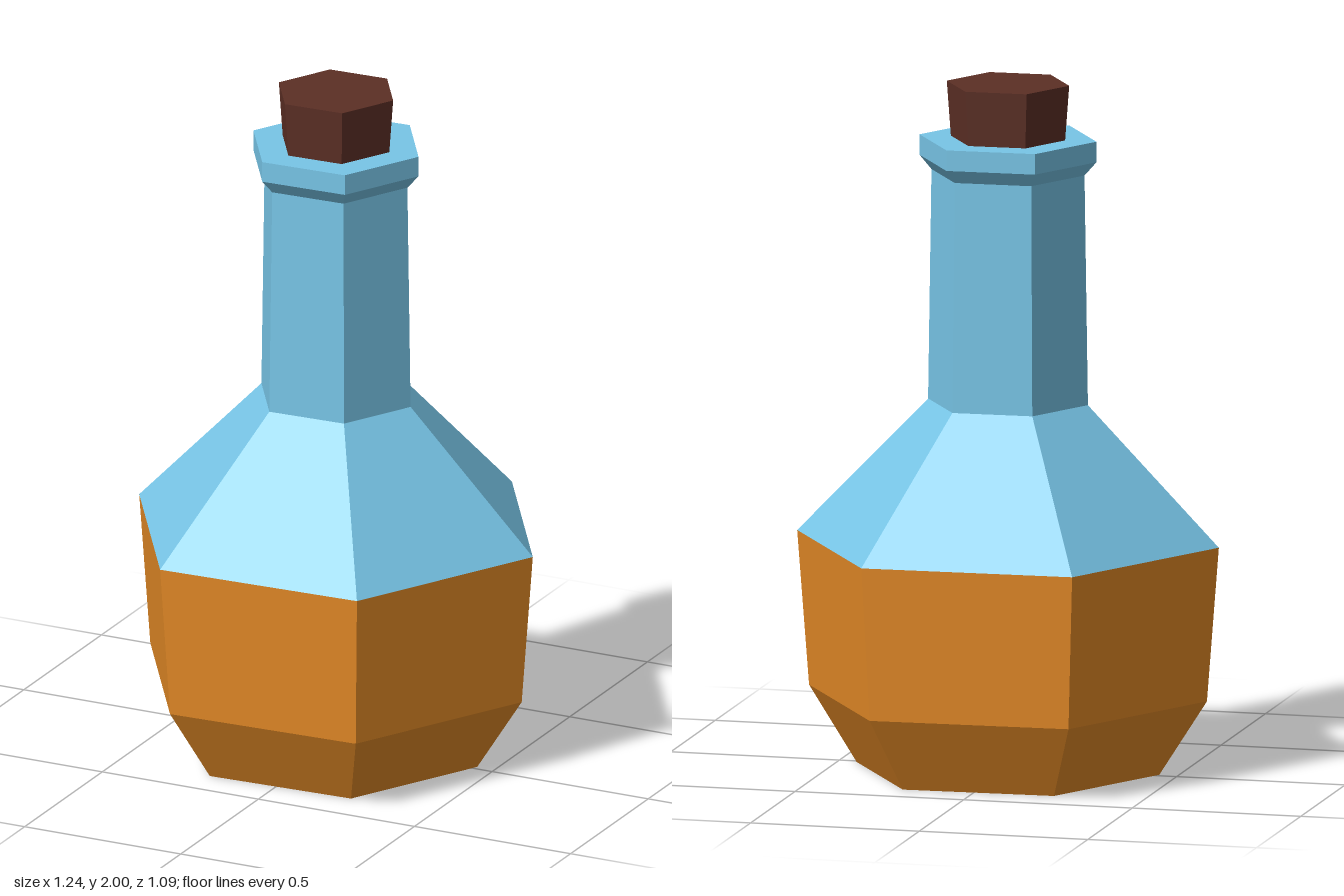
import * as THREE from 'three';

const SIDES = 6;
const TWIST = THREE.MathUtils.degToRad(32); // slight turn of the hexagon

function makeMaterial(name, color) {
  const material = new THREE.MeshStandardMaterial({ color, flatShading: true });
  material.name = name;
  return material;
}

// Six-sided turned part from [radius, height] pairs, listed bottom to top
function turned(name, profile, material) {
  const points = profile.map(([r, y]) => new THREE.Vector2(r, y));
  const mesh = new THREE.Mesh(new THREE.LatheGeometry(points, SIDES, TWIST), material);
  mesh.name = name;
  return mesh;
}

export function createModel() {
  const glass = makeMaterial('blue glass', 0x78c6e8);
  const liquid = makeMaterial('amber liquid', 0xe48a26);
  const cork = makeMaterial('dark cork', 0x5c2f25);

  const bottle = new THREE.Group();
  bottle.name = 'corkedBottle';
  bottle.add(
    // Filled lower body with closed base
    turned('liquidBody', [[0, 0], [0.445, 0], [0.585, 0.22], [0.62, 0.67]], liquid),
    // Sloping shoulder
    turned('shoulder', [[0.62, 0.67], [0.235, 1.07]], glass),
    // Slightly tapered neck
    turned('neck', [[0.235, 1.07], [0.225, 1.74]], glass),
    // Flared lip with flat top
    turned('lip', [[0.225, 1.74], [0.26, 1.78], [0.26, 1.84], [0, 1.84]], glass),
    // Stopper widening upwards
    turned('stopper', [[0.168, 1.84], [0.18, 2], [0, 2]], cork),
  );
  return bottle;
}
